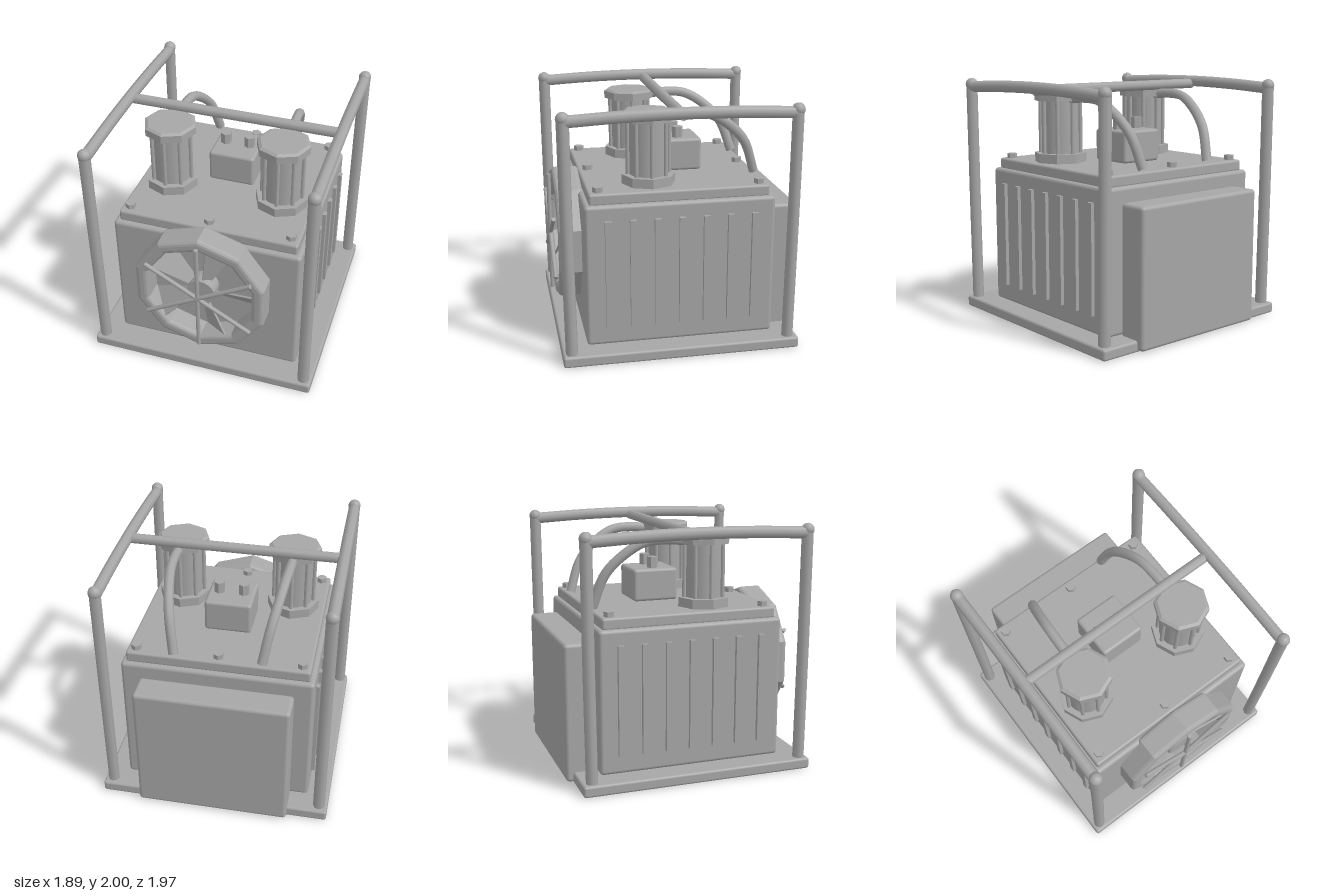
import * as THREE from 'three';
import { RoundedBoxGeometry } from 'three/addons/geometries/RoundedBoxGeometry.js';

export function createModel() {
  const model = new THREE.Group();
  model.name = 'generator';
  const metal = new THREE.MeshStandardMaterial({ color: 0xa6a6a6 });
  metal.name = 'grey metal';

  const add = (name, geometry, x = 0, y = 0, z = 0, parent = model) => {
    const mesh = new THREE.Mesh(geometry, metal);
    mesh.name = name;
    mesh.position.set(x, y, z);
    parent.add(mesh);
    return mesh;
  };
  // Rounded box given by its limits on each axis
  const block = (name, x0, x1, y0, y1, z0, z1, r) =>
    add(name, new RoundedBoxGeometry(x1 - x0, y1 - y0, z1 - z0, 3, r),
      (x0 + x1) / 2, (y0 + y1) / 2, (z0 + z1) / 2);
  // Faceted prism
  const prism = (r, h, sides, rTop = r) => {
    const g = new THREE.CylinderGeometry(rTop, r, h, sides).toNonIndexed();
    g.computeVertexNormals();
    return g;
  };
  const tube = (name, points, r, steps) => {
    const curve = new THREE.CatmullRomCurve3(points.map(p => new THREE.Vector3(...p)));
    return add(name, new THREE.TubeGeometry(curve, steps, r, 8));
  };

  // Housing
  block('base', -0.945, 0.945, 0, 0.09, -0.93, 0.965, 0.02);
  block('body', -0.77, 0.77, 0.09, 1.24, -0.75, 0.76, 0.03);
  block('lid', -0.732, 0.732, 1.23, 1.325, -0.712, 0.72, 0.02);
  block('rearTank', -0.62, 0.62, 0.01, 1.12, -0.985, -0.74, 0.03);
  block('controlBox', -0.19, 0.19, 1.325, 1.59, -0.285, 0.09, 0.025);

  // Side fins
  for (const side of [-1, 1]) {
    for (let i = -3; i <= 3; i++) {
      add('sideFin', new THREE.BoxGeometry(0.05, 0.88, 0.05), side * 0.775, 0.68, i * 0.194);
    }
  }

  // Hexagonal bolts
  for (const x of [-0.1, 0.1]) add('controlKnob', prism(0.045, 0.1, 6), x, 1.63, -0.1);
  for (const x of [-0.66, 0, 0.66]) {
    for (const z of [-0.64, 0.64]) add('lidBolt', prism(0.042, 0.05, 6), x, 1.34, z);
  }

  // Cylinders with flanges, tie rods and hoses
  for (const side of [-1, 1]) {
    const unit = new THREE.Group();
    unit.name = 'cylinderUnit';
    unit.position.set(side * 0.465, 0, 0.21);
    model.add(unit);
    add('cylinderBody', new THREE.CylinderGeometry(0.155, 0.155, 0.48, 24), 0, 1.61, 0, unit);
    add('lowerFlange', prism(0.215, 0.08, 8), 0, 1.36, 0, unit);
    add('upperFlange', prism(0.215, 0.06, 8), 0, 1.86, 0, unit);
    add('flangeTop', prism(0.215, 0.015, 8, 0.19), 0, 1.897, 0, unit);
    for (let i = 0; i < 8; i++) {
      const a = i * Math.PI / 4;
      add('tieRod', new THREE.CylinderGeometry(0.017, 0.017, 0.46, 8),
        0.165 * Math.sin(a), 1.61, 0.165 * Math.cos(a), unit);
    }
    tube('hose', [
      [side * 0.465, 1.85, 0.06], [side * 0.465, 1.865, -0.1], [side * 0.455, 1.85, -0.28],
      [side * 0.43, 1.75, -0.45], [side * 0.395, 1.6, -0.59], [side * 0.35, 1.34, -0.685],
    ], 0.04, 24);
  }

  // Tubular frame
  for (const side of [-1, 1]) {
    const x = side * 0.875;
    for (const z of [0.9, -0.855]) {
      const s = Math.sign(z);
      tube('framePost', [[x, 0.06, z - s * 0.005], [x, 1, z + s * 0.005], [x, 1.95, z + s * 0.01]], 0.048, 12);
      add('frameCorner', new THREE.SphereGeometry(0.052, 12, 8), x, 1.948, z + s * 0.01);
    }
    tube('frameRail', [[x, 1.925, 0.91], [x, 1.945, 0.5], [x, 1.953, 0.02],
      [x, 1.945, -0.45], [x, 1.925, -0.865]], 0.047, 16);
  }
  const bar = add('crossBar', new THREE.CylinderGeometry(0.042, 0.042, 1.72, 8), 0, 1.932, 0.015);
  bar.rotation.z = Math.PI / 2;

  // Fan on the front
  const fan = new THREE.Group();
  fan.name = 'fan';
  fan.position.set(0, 0.8, 0);
  model.add(fan);

  const decagon = r => Array.from({ length: 10 }, (_, i) => {
    const a = i * Math.PI / 5;
    return new THREE.Vector2(-r * Math.sin(a), r * Math.cos(a));
  });
  const ring = new THREE.Shape(decagon(0.56));
  ring.holes.push(new THREE.Path(decagon(0.45).reverse()));
  add('fanRing', new THREE.ExtrudeGeometry(ring, {
    depth: 0.15, bevelThickness: 0.035, bevelSize: 0.035, bevelOffset: -0.035, bevelSegments: 3,
  }), 0, 0, 0.755, fan);

  const hub = add('fanHub', new THREE.CylinderGeometry(0.115, 0.115, 0.14, 24), 0, 0, 0.82, fan);
  hub.rotation.x = Math.PI / 2;

  const bladeShape = new THREE.Shape([[0.08, -0.035], [0.435, -0.13], [0.435, 0.13], [0.08, 0.035]]
    .map(p => new THREE.Vector2(...p)));
  for (let i = 0; i < 5; i++) {
    const g = new THREE.ExtrudeGeometry(bladeShape, { depth: 0.015, bevelEnabled: false });
    g.rotateX(0.65);
    const blade = add('fanBlade', g, 0, 0, 0.83, fan);
    blade.rotation.z = THREE.MathUtils.degToRad(70 + 72 * i);
  }

  // Guard bars across the fan
  for (let i = 0; i < 3; i++) {
    const guard = add('guardBar', new THREE.CylinderGeometry(0.018, 0.018, 1, 8), 0, 0, 0.965, fan);
    guard.rotation.z = i * Math.PI / 3;
  }
  return model;
}
